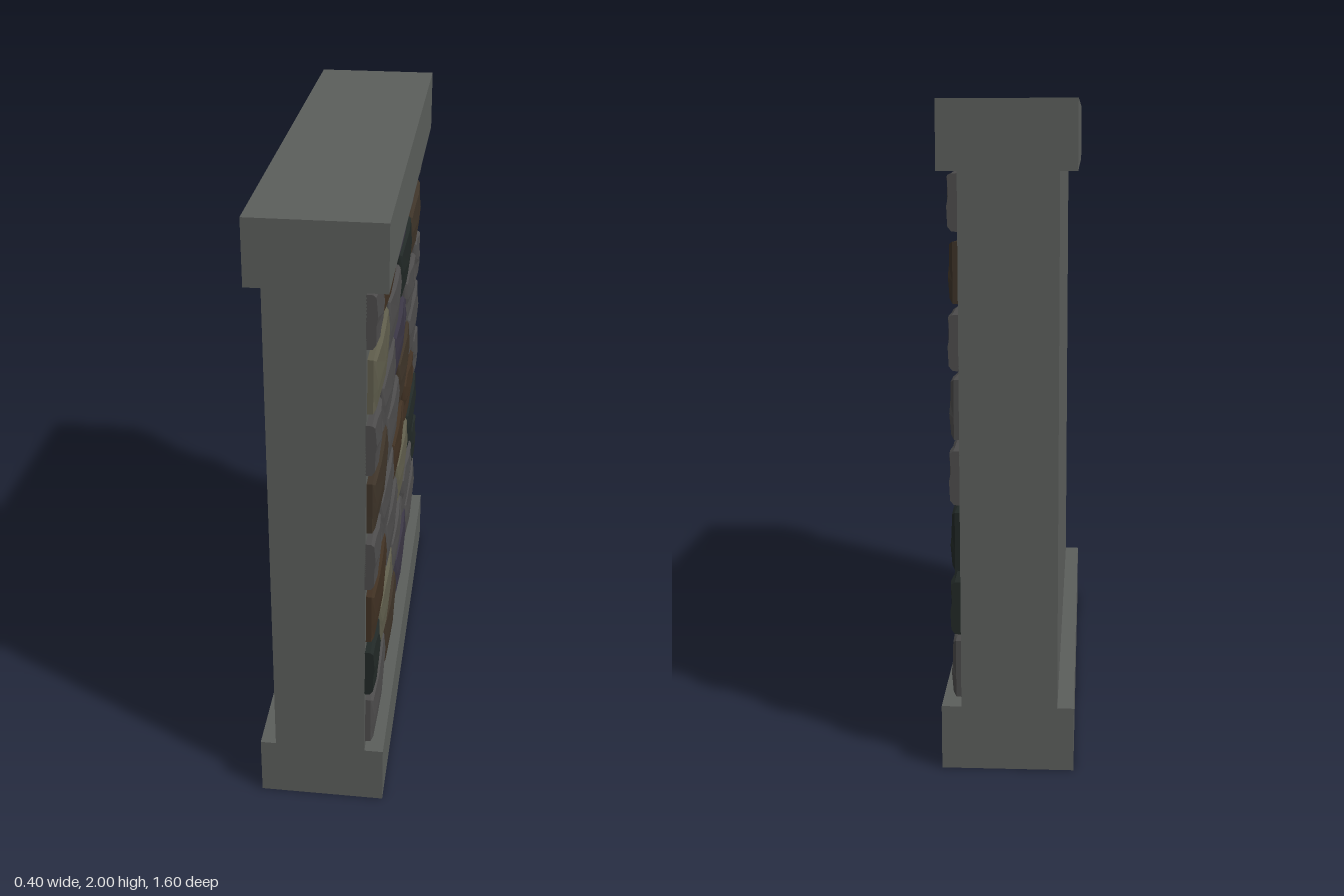
import * as THREE from 'three';

const COLORS = {
  grey: 0x4c4b4b, brown: 0x3d3328, rust: 0x3f3022,
  sand: 0x5e5c4b, plum: 0x393543, dark: 0x212826,
};

// Brick outlines as [u, y] around the brick centre, counter-clockwise seen from +x (u = -z)
const OUTLINES = {
  a: [[-0.178, -0.09], [0.178, -0.082], [0.18, 0.09], [-0.18, 0.082]],
  b: [[-0.182, -0.09], [0.178, -0.075], [0.18, 0.066], [-0.176, 0.086]],
  c: [[-0.176, -0.083], [0.18, -0.077], [0.182, 0.09], [-0.178, 0.082]],
  d: [[-0.182, -0.08], [0.18, -0.088], [0.18, 0.092], [-0.176, 0.07]],
  e: [[-0.178, -0.082], [0.178, -0.086], [0.178, 0.088], [-0.178, 0.08]],
  chipped: [[-0.18, -0.088], [0.18, -0.07], [0.16, 0.06], [0.115, 0.088], [-0.176, 0.06]],
  g: [[-0.178, -0.07], [0.18, -0.078], [0.18, 0.066], [-0.18, 0.09]],
  halfA: [[-0.12, -0.078], [0.1, -0.083], [0.1, 0.08], [-0.12, 0.086]],
  halfB: [[-0.08, -0.07], [0.12, -0.08], [0.12, 0.084], [-0.08, 0.088]],
};

// Outline and centre u of each brick in the two alternating courses
const COURSES = [
  [['a', -0.6], ['b', -0.2], ['c', 0.2], ['d', 0.6]],
  [['halfA', -0.7], ['e', -0.37], ['chipped', 0.03], ['g', 0.425], ['halfB', 0.72]],
];

const ROWS = [
  ['grey', 'brown', 'plum', 'grey'],
  ['dark', 'sand', 'grey', 'grey', 'dark'],
  ['rust', 'grey', 'sand', 'dark'],
  ['grey', 'grey', 'rust', 'rust', 'grey'],
  ['brown', 'grey', 'brown', 'grey'],
  ['grey', 'grey', 'plum', 'grey', 'grey'],
  ['sand', 'grey', 'dark', 'brown'],
  ['grey', 'rust', 'plum', 'grey', 'grey'],
];

// Rough-hewn brick: base, shoulder and inset face loops, capped by a slightly domed face
function brickGeometry(corners, cu, cy) {
  const outline = [];
  corners.forEach(([u, y], i) => {
    const [u2, y2] = corners[(i + 1) % corners.length];
    for (let k = 0; k < 3; k++) {
      const t = k / 3, wobble = k ? 0.003 * Math.sin(i * 5 + k * 2.6) : 0;
      outline.push([u + (u2 - u) * t, y + (y2 - y) * t + wobble]);
    }
  });
  const n = outline.length;
  const positions = [], index = [];
  const add = (x, u, y) => positions.push(x, cy + y, -THREE.MathUtils.clamp(cu + u, -0.8, 0.8));

  const loops = [[0.138, 0, 0], [0.157, 0.001, 0.001], [0.168, 0.009, 0.01]];
  loops.forEach(([x, insetU, insetY], level) => {
    outline.forEach(([u, y], i) => {
      const depth = level === 2 ? 0.003 * Math.sin(i * 2.1 + corners[0][1] * 90) : 0;
      const lower = y < 0 ? 1.5 : 0.8;
      add(x + depth, u - Math.sign(u) * insetU, y - Math.sign(y) * insetY * lower);
    });
  });
  add(0.174, 0.01, -0.012);

  for (let l = 0; l < 2; l++) {
    for (let i = 0; i < n; i++) {
      const j = (i + 1) % n, a = l * n + i, b = l * n + j;
      index.push(a, b, b + n, a, b + n, a + n);
    }
  }
  for (let i = 0; i < n; i++) index.push(2 * n + i, 2 * n + ((i + 1) % n), 3 * n);

  const geometry = new THREE.BufferGeometry();
  geometry.setAttribute('position', new THREE.Float32BufferAttribute(positions, 3));
  geometry.setIndex(index);
  geometry.computeVertexNormals();
  return geometry;
}

export function createModel() {
  const model = new THREE.Group();
  model.name = 'brickWall';
  const stone = new THREE.MeshStandardMaterial({ color: 0x5b5e5b });

  const addBox = (name, w, h, x, y) => {
    const mesh = new THREE.Mesh(new THREE.BoxGeometry(w, h, 1.6), stone);
    mesh.name = name;
    mesh.position.set(x, y, 0);
    model.add(mesh);
  };
  addBox('baseSlab', 0.4, 0.2, 0, 0.1);
  addBox('wallCore', 0.29, 1.6, -0.005, 1);
  addBox('capSlab', 0.4, 0.2, 0, 1.9);

  // Eight courses of coloured bricks on the +x side
  const bricks = new THREE.Group();
  bricks.name = 'bricks';
  const materials = {};
  for (const key in COLORS) {
    materials[key] = new THREE.MeshStandardMaterial({ color: COLORS[key] });
    materials[key].flatShading = true;
  }
  ROWS.forEach((row, r) => {
    COURSES[r % 2].forEach(([outline, u], i) => {
      const geometry = brickGeometry(OUTLINES[outline], u, 0.31 + r * 0.2);
      const mesh = new THREE.Mesh(geometry, materials[row[i]]);
      mesh.name = `brick_${r + 1}_${i + 1}`;
      bricks.add(mesh);
    });
  });
  model.add(bricks);
  return model;
}
